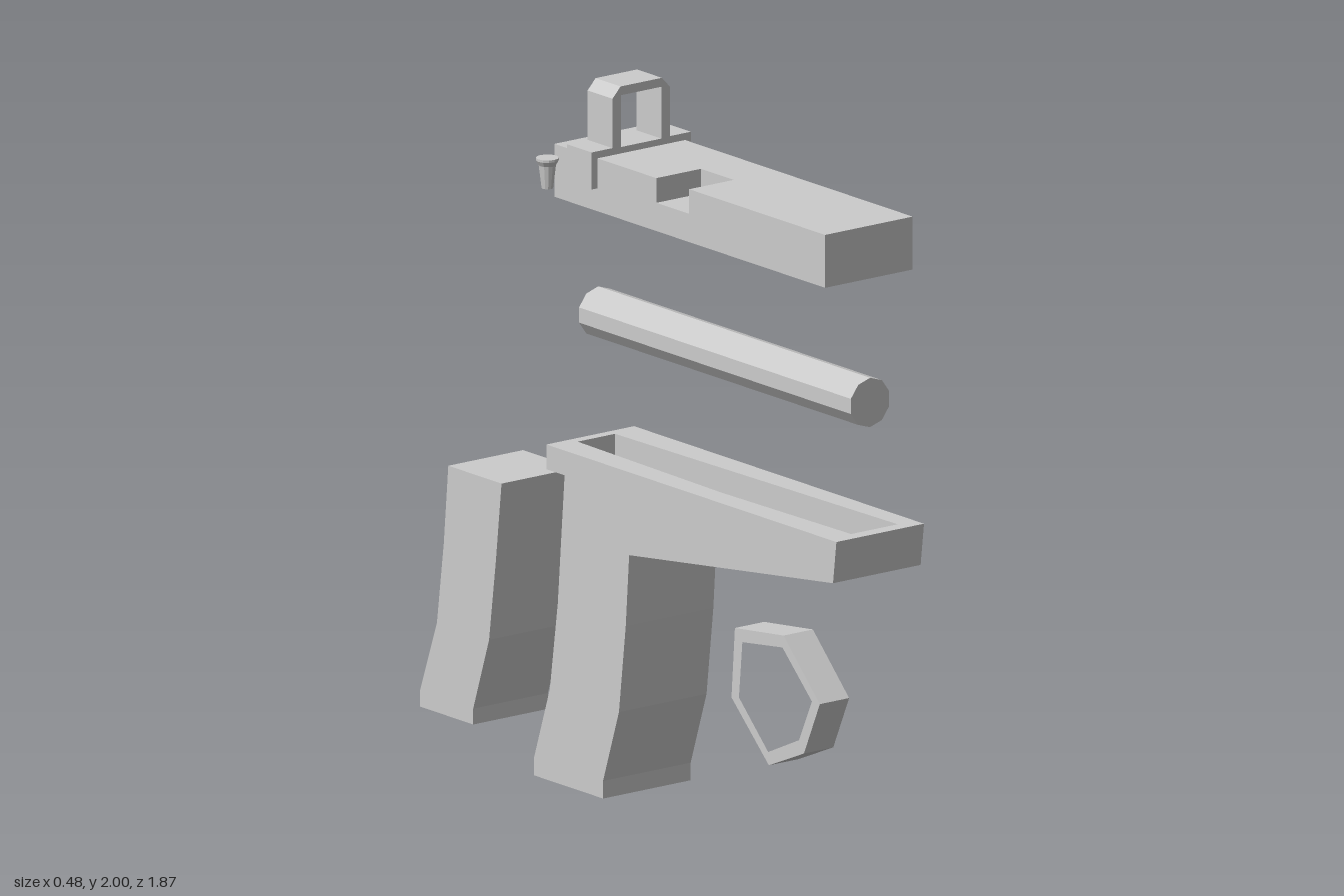
import * as THREE from 'three';
import { mergeGeometries } from 'three/addons/utils/BufferGeometryUtils.js';

const V = (pts) => pts.map(([a, b]) => new THREE.Vector2(a, b));
const material = () => new THREE.MeshStandardMaterial({ color: 0xcccccc, flatShading: true });

function shapeOf(pts, hole) {
  const s = new THREE.Shape(V(pts));
  if (hole) s.holes.push(new THREE.Path(V(hole)));
  return s;
}

const extrude = (shape, depth) => new THREE.ExtrudeGeometry(shape, { depth, bevelEnabled: false });

// Extrudes a [z, y] side profile across x
function sideExtrude(pts, x0, x1, hole) {
  const turn = (p) => p && p.map(([z, y]) => [-z, y]);
  return extrude(shapeOf(turn(pts), turn(hole)), x1 - x0).rotateY(Math.PI / 2).translate(x0, 0, 0);
}

// Flat horizontal plate from [x, z] outlines, facing up
function plate(pts, y, hole) {
  const turn = (p) => p && p.map(([x, z]) => [x, -z]);
  return new THREE.ShapeGeometry(shapeOf(turn(pts), turn(hole))).rotateX(-Math.PI / 2).translate(0, y, 0);
}

const rect = (a0, a1, b0, b1) => [[a0, b0], [a1, b0], [a1, b1], [a0, b1]];

function block(x0, x1, y0, y1, z0, z1) {
  return new THREE.BoxGeometry(x1 - x0, y1 - y0, z1 - z0)
    .translate((x0 + x1) / 2, (y0 + y1) / 2, (z0 + z1) / 2);
}

// Drops faces lying wholly on the given axis planes; flip turns the shell inside out
function shell(geometry, planes, flip = false) {
  const p = (geometry.index ? geometry.toNonIndexed() : geometry).attributes.position;
  const out = [];
  for (let i = 0; i < p.count; i += 3) {
    const tri = [0, 1, 2].map((k) => new THREE.Vector3().fromBufferAttribute(p, i + k));
    if (planes.some(([axis, at]) => tri.every((v) => Math.abs(v[axis] - at) < 1e-4))) continue;
    if (flip) tri.reverse();
    tri.forEach((v) => out.push(v.x, v.y, v.z));
  }
  const g = new THREE.BufferGeometry();
  g.setAttribute('position', new THREE.Float32BufferAttribute(out, 3));
  g.computeVertexNormals();
  return g;
}

export function createModel() {
  const group = new THREE.Group();
  const add = (name, geometry) => {
    const mesh = new THREE.Mesh(geometry, material());
    mesh.name = name;
    group.add(mesh);
    return mesh;
  };
  const L = -0.085, R = 0.22, MID = (L + R) / 2;

  // Magazine: curved block; the same profile, shifted, hollows the grip
  const magazine = [
    [-0.575, 0.785], [-0.81, 0.785], [-0.83, 0.56], [-0.86, 0.33], [-0.935, 0.12],
    [-0.935, 0.075], [-0.7, 0.075], [-0.7, 0.12], [-0.63, 0.33], [-0.6, 0.56],
  ];
  add('magazine', sideExtrude(magazine, -0.06, 0.2));

  // Frame: outer shell with an open trough on top and a hollow grip
  const top = 0.95;
  const frame = [
    [0.935, top], [0.92, 0.83], [0.02, 0.715], [0.005, 0.51], [-0.025, 0.26], [-0.095, 0.05],
    [-0.095, 0], [-0.4, 0], [-0.4, 0.05], [-0.33, 0.26], [-0.295, 0.51], [-0.265, 0.88],
    [-0.345, 0.88], [-0.345, top],
  ];
  const trough = [[0, -0.315], [0.13, -0.315], [0.16, 0.895], [-0.03, 0.895]];
  const floor = 0.88;
  const troughSolid = extrude(shapeOf(trough.map(([x, z]) => [x, -z])), top - floor)
    .rotateX(-Math.PI / 2).translate(0, floor, 0);
  const well = magazine.map(([z, y]) => [z + 0.565, y - 0.075]);
  add('frame', mergeGeometries([
    shell(sideExtrude(frame, L, R), [['y', top], ['y', 0]]),
    shell(plate(rect(L, R, -0.345, 0.935), top, trough), []),
    shell(plate(rect(L, R, -0.4, -0.095), 0, rect(-0.06, 0.2, -0.37, -0.135)), [], true),
    shell(troughSolid, [['y', top]], true),
    shell(sideExtrude(well, -0.06, 0.2), [['y', 0]], true),
  ]));

  // Slide: block with a port cut into the top and right side
  const y0 = 1.66, y1 = 1.81, z0 = -0.31, z1 = 0.885;
  const px = 0.07, py = 1.74, pz0 = 0.14, pz1 = 0.285;
  const side = [[z0, y0], [z1, y0], [z1, y1], [pz1, y1], [pz1, py], [pz0, py], [pz0, y1], [z0, y1]];
  const roof = [[L, z0], [R, z0], [R, z1], [L, z1], [L, pz1], [px, pz1], [px, pz0], [L, pz0]];
  add('slide', mergeGeometries([
    shell(block(L, R, y0, y1, z0, z1), [['y', y1], ['x', L]]),
    shell(plate(roof, y1), []),
    shell(new THREE.ShapeGeometry(shapeOf(side)).rotateY(-Math.PI / 2).translate(L, 0, 0), []),
    shell(block(L, px, py, y1, pz0, pz1), [['y', y1], ['x', L]], true),
  ]));

  // Sight: saddle clip with a chamfered loop
  const half = [
    [0.1525, 1.81], [0.1525, 1.725], [0.1725, 1.725], [0.1725, 1.83],
    [0.1, 1.83], [0.1, 1.97], [0.072, 2],
  ];
  const outline = [
    ...half.map(([x, y]) => [MID + x, y]),
    ...half.map(([x, y]) => [MID - x, y]).reverse(),
  ];
  const opening = rect(MID - 0.07, MID + 0.07, 1.828, 1.975);
  add('sight', extrude(shapeOf(outline, opening), 0.11).translate(0, 0, -0.23));

  // Barrel: ten-sided rod
  add('barrel', new THREE.CylinderGeometry(0.07, 0.07, 1.2, 10).rotateX(Math.PI / 2))
    .position.set(MID, 1.31, 0.29);

  // Trigger guard: six-sided ring
  add('triggerGuard', sideExtrude(
    [[0.735, 0.43], [0.575, 0.59], [0.36, 0.565], [0.345, 0.365], [0.51, 0.208], [0.665, 0.275]],
    0.015, 0.117,
    [[0.7, 0.43], [0.57, 0.555], [0.393, 0.532], [0.378, 0.372], [0.507, 0.245], [0.643, 0.308]],
  ));

  // Screw: flat head on a tapered shank
  const screw = V([[0, 1.735], [0.016, 1.735], [0.024, 1.8], [0.032, 1.814], [0.032, 1.821], [0, 1.821]]);
  add('screw', new THREE.LatheGeometry(screw, 12)).position.set(-0.212, 0, -0.18);

  return group;
}
